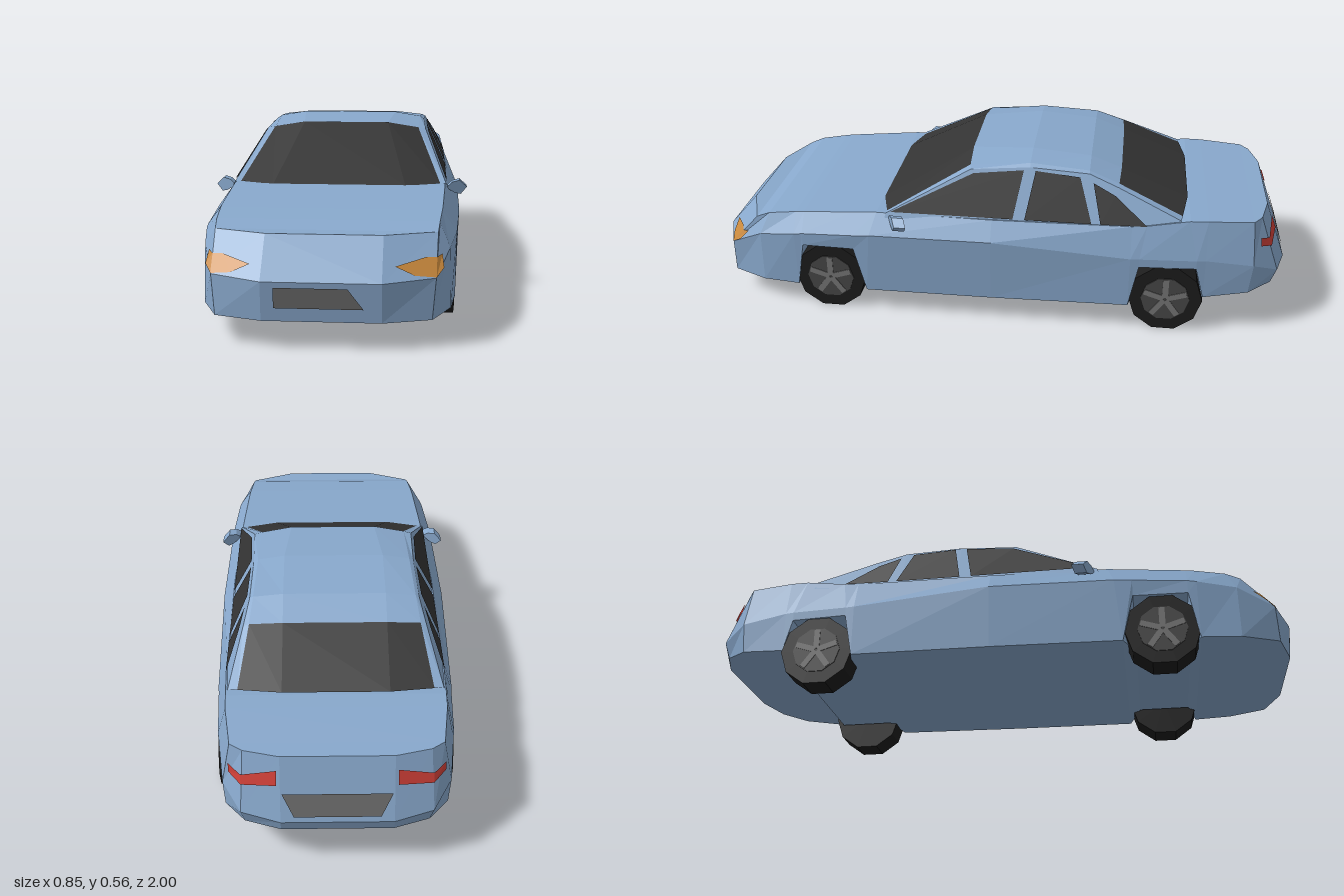
import * as THREE from 'three';

const mat = (color) => new THREE.MeshStandardMaterial({ color, flatShading: true, side: THREE.DoubleSide });
const paint = mat(0x88a8cc), glass = mat(0x333333), tyreMat = mat(0x1c1c1c), rimMat = mat(0x484848);
const spokeMat = mat(0x777777), amber = mat(0xc8883c), red = mat(0xd04038), plateMat = mat(0x6a6a6a);

const mirror = (p) => [-p[0], p[1], p[2]];
const wrap = (half) => [...half, ...half.map(mirror).reverse()];

// Flat-shaded mesh from a list of polygons, each split as a fan
function polyMesh(name, polys, material) {
  const pos = [];
  for (const p of polys)
    for (let i = 1; i < p.length - 1; i++) pos.push(...p[0], ...p[i], ...p[i + 1]);
  const g = new THREE.BufferGeometry();
  g.setAttribute('position', new THREE.Float32BufferAttribute(pos, 3));
  g.computeVertexNormals();
  const m = new THREE.Mesh(g, material);
  m.name = name;
  return m;
}

// Quads between neighbouring sections, which run from front to back
function loft(sections, closed = false) {
  const out = [];
  for (let i = 0; i < sections.length - 1; i++) {
    const a = sections[i], b = sections[i + 1], n = a.length;
    for (let j = 0; j < (closed ? n : n - 1); j++) {
      const k = (j + 1) % n;
      out.push([a[j], b[j], b[k], a[k]]);
    }
  }
  return out;
}

function buildBody() {
  // Each column: sill, waist and belt points, plus inner floor x and y where a wheel arch is cut
  const columns = [
    [[0.17, 0.08, 0.99], [0.17, 0.195, 1.0], [0.17, 0.31, 0.897]],
    [[0.31, 0.08, 0.945], [0.32, 0.2, 0.94], [0.325, 0.31, 0.838]],
    [[0.365, 0.08, 0.82], [0.36, 0.26, 0.82], [0.33, 0.33, 0.79]],
    [[0.38, 0.08, 0.69], [0.383, 0.28, 0.69], [0.338, 0.345, 0.69]],
    [[0.385, 0.24, 0.66], [0.385, 0.285, 0.66], [0.34, 0.348, 0.66], 0.27],
    [[0.39, 0.24, 0.48], [0.395, 0.295, 0.48], [0.347, 0.362, 0.48], 0.27],
    [[0.39, 0.08, 0.44], [0.397, 0.3, 0.42], [0.35, 0.368, 0.4]],
    [[0.395, 0.085, 0], [0.402, 0.305, 0], [0.36, 0.37, 0]],
    [[0.39, 0.09, -0.47], [0.39, 0.27, -0.47], [0.355, 0.375, -0.47]],
    [[0.387, 0.24, -0.5], [0.387, 0.27, -0.5], [0.354, 0.38, -0.52], 0.27],
    [[0.375, 0.24, -0.69], [0.375, 0.27, -0.69], [0.345, 0.402, -0.66], 0.27],
    [[0.37, 0.13, -0.72], [0.37, 0.27, -0.72], [0.342, 0.403, -0.72]],
    [[0.345, 0.145, -0.87], [0.348, 0.25, -0.88], [0.32, 0.4, -0.87]],
    [[0.28, 0.155, -0.95], [0.29, 0.21, -0.966], [0.28, 0.4, -0.898]],
    [[0.17, 0.16, -0.99], [0.17, 0.2, -1.0], [0.17, 0.4, -0.925]],
  ];
  const halves = columns.map(([s, m, b, fx]) => {
    const x = fx ?? s[0], floorY = fx ? 0.09 : s[1];
    return [[x, floorY, s[2]], [x, s[1], s[2]], s, m, b];
  });
  const polys = loft(halves.map(wrap), true);
  // Nose and tail faces
  for (const [h, flip] of [[halves[0], false], [halves[halves.length - 1], true]])
    for (let j = 2; j < 4; j++) {
      const q = [h[j], h[j + 1], mirror(h[j + 1]), mirror(h[j])];
      polys.push(flip ? q.reverse() : q);
    }
  return polyMesh('body', polys, paint);
}

// The cabin sides lie on one sloping plane
const sideX = (y) => 0.357 - 0.47 * (y - 0.365);

function buildCabin() {
  const cabin = new THREE.Group();
  cabin.name = 'cabin';
  // Each station: base [y, z], shoulder [y, z], window rail point, roof point
  const stations = [
    [[0.355, 0.37], [0.37, 0.365], [0.335, 0.37, 0.365], [0.22, 0.367, 0.4]],
    [[0.355, 0.08], [0.52, 0.08], [0.258, 0.525, 0.085], [0.15, 0.543, 0.09]],
    [[0.355, -0.12], [0.535, -0.12], [0.262, 0.545, -0.12], [0.17, 0.56, -0.12]],
    [[0.355, -0.32], [0.525, -0.32], [0.27, 0.532, -0.32], [0.17, 0.543, -0.32]],
    [[0.36, -0.42], [0.488, -0.42], [0.28, 0.495, -0.42], [0.17, 0.503, -0.425]],
    [[0.37, -0.63], [0.4, -0.63], [0.31, 0.402, -0.635], [0.17, 0.407, -0.655]],
  ].map(([b, s, rail, roof]) => [[sideX(b[0]), ...b], [sideX(s[0]), ...s], rail, roof]);
  const top = stations.map((s) => wrap(s.slice(2)));

  const left = loft(stations.map((s) => s.slice(0, 3)));
  const right = left.map((q) => q.map(mirror).reverse());
  cabin.add(polyMesh('pillars', [...left, ...right], paint));
  cabin.add(polyMesh('roof', loft(top.slice(1, 5)), paint));
  cabin.add(polyMesh('windshield', loft(top.slice(0, 2)), glass));
  cabin.add(polyMesh('rearWindow', loft(top.slice(4)), glass));

  // Side windows as [z, y] outlines just proud of the pillars
  const windows = {
    frontSideWindow: [[0.35, 0.376], [-0.07, 0.376], [-0.1, 0.527], [0.07, 0.51]],
    rearSideWindow: [[-0.11, 0.376], [-0.335, 0.376], [-0.29, 0.515], [-0.14, 0.527]],
    quarterWindow: [[-0.365, 0.376], [-0.52, 0.378], [-0.41, 0.465], [-0.335, 0.5]],
  };
  for (const [name, outline] of Object.entries(windows)) {
    const p = outline.map(([z, y]) => [sideX(y) + 0.005, y, z]);
    cabin.add(polyMesh(name, [p, p.map(mirror).reverse()], glass));
  }
  return cabin;
}

function buildLamps() {
  const lamps = new THREE.Group();
  lamps.name = 'lampsAndPlates';
  // Points on the sloping front and rear corner faces
  const front = ([x, y]) => [x, y, 1.007 - 0.4 * (x - 0.17) - 0.9 * (y - 0.195)];
  const rear = ([x, y]) => [x, y, -1.006 + 0.375 * (y - 0.2) + 0.25 * (x - 0.17)];
  const pair = (name, polys, material) =>
    lamps.add(polyMesh(name, [...polys, ...polys.map((p) => p.map(mirror).reverse())], material));

  const f = [[0.205, 0.235], [0.26, 0.21], [0.321, 0.202], [0.322, 0.25], [0.29, 0.252]].map(front);
  pair('headlamps', [f, [f[2], [0.342, 0.222, 0.905], [0.337, 0.255, 0.872], f[3]]], amber);
  const r = [[0.18, 0.36], [0.287, 0.33], [0.287, 0.3], [0.18, 0.315]].map(rear);
  pair('tailLamps', [r, [r[1], [0.325, 0.345, -0.895], [0.325, 0.315, -0.9], r[2]]], red);

  const fz = (y) => 0.995 + 0.087 * (y - 0.08);
  lamps.add(polyMesh('frontPlate',
    [[[-0.133, 0.12], [0.12, 0.12], [0.075, 0.18], [-0.133, 0.18]].map(([x, y]) => [x, y, fz(y)])], plateMat));
  const rz = (y) => -1.005 + 0.375 * (y - 0.2);
  lamps.add(polyMesh('rearPlate',
    [[[0.13, 0.22], [-0.13, 0.22], [-0.165, 0.29], [0.165, 0.29]].map(([x, y]) => [x, y, rz(y)])], plateMat));
  return lamps;
}

function buildWheel(side, z) {
  const wheel = new THREE.Group();
  wheel.name = (z > 0 ? 'front' : 'rear') + (side > 0 ? 'Left' : 'Right') + 'Wheel';
  const disc = (name, r, w, x, sides, material) => {
    const m = new THREE.Mesh(new THREE.CylinderGeometry(r, r, w, sides).rotateZ(Math.PI / 2), material);
    m.position.x = x;
    m.name = name;
    wheel.add(m);
  };
  disc('tyre', 0.125, 0.098, 0, 10, tyreMat);
  disc('rim', 0.082, 0.01, side * 0.047, 10, rimMat);
  for (let i = 0; i < 5; i++) {
    const spoke = new THREE.Mesh(new THREE.BoxGeometry(0.008, 0.07, 0.02).translate(0, 0.04, 0), spokeMat);
    spoke.position.x = side * 0.05;
    spoke.rotation.x = (i * Math.PI * 2) / 5;
    spoke.name = 'spoke';
    wheel.add(spoke);
  }
  wheel.position.set(side * 0.329, 0.119, z);
  return wheel;
}

function buildMirror(side) {
  const outline = [[0.355, 0.355], [0.385, 0.335], [0.405, 0.33], [0.425, 0.353], [0.4, 0.377], [0.375, 0.372]];
  const shape = new THREE.Shape(outline.map(([x, y]) => new THREE.Vector2(side * x, y)));
  const g = new THREE.ExtrudeGeometry(shape, { depth: 0.05, bevelEnabled: false });
  // Sweep the outer end backwards
  const p = g.attributes.position;
  for (let i = 0; i < p.count; i++) p.setZ(i, p.getZ(i) * 0.8 - (Math.abs(p.getX(i)) - 0.38) * 0.5);
  g.computeVertexNormals();
  const m = new THREE.Mesh(g, paint);
  m.position.z = 0.305;
  m.name = side > 0 ? 'leftMirror' : 'rightMirror';
  return m;
}

export function createModel() {
  const car = new THREE.Group();
  car.name = 'car';
  car.add(buildBody(), buildCabin(), buildLamps());
  for (const side of [1, -1]) {
    car.add(buildMirror(side));
    for (const z of [0.57, -0.595]) car.add(buildWheel(side, z));
  }
  return car;
}
